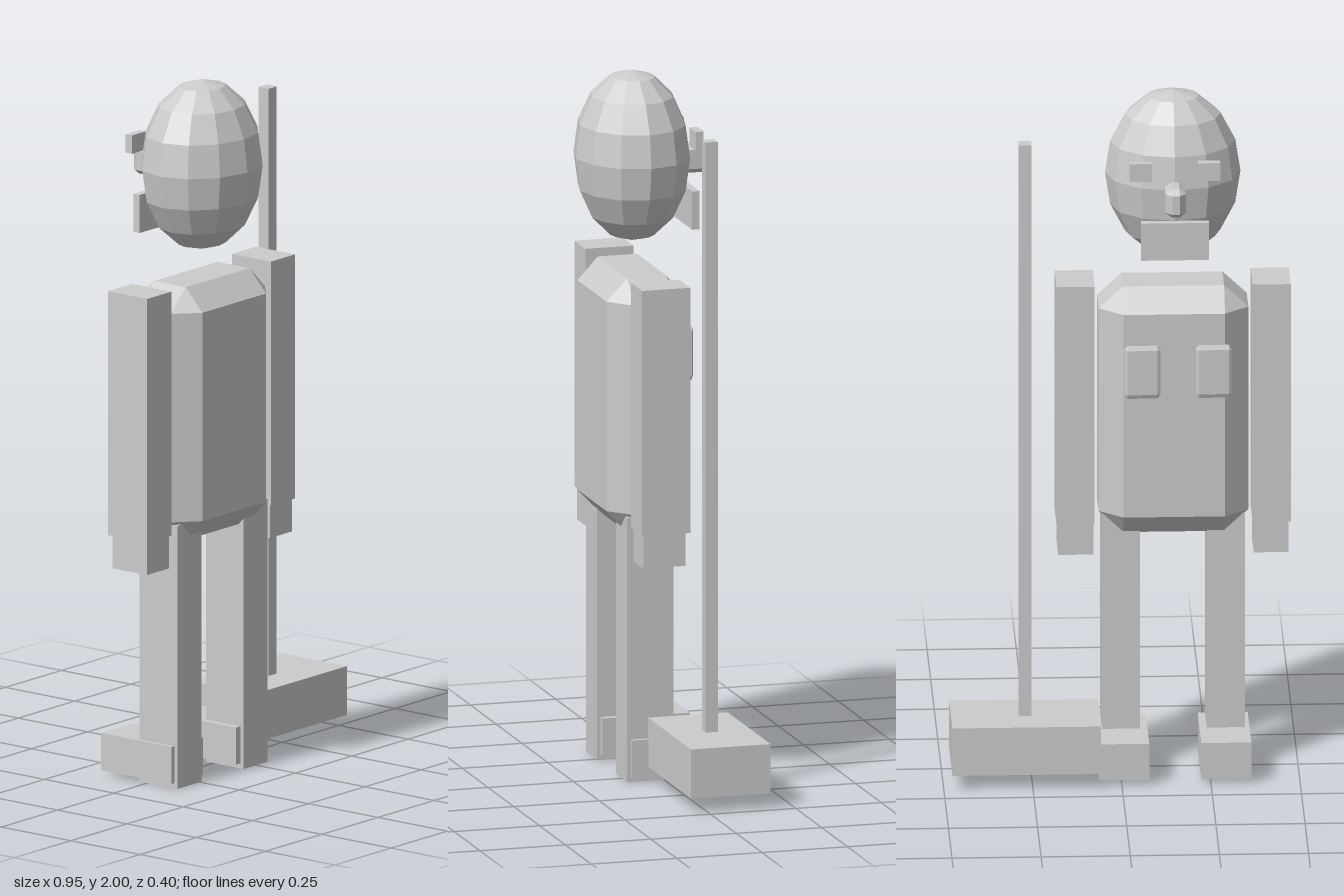
import * as THREE from 'three';
import { ConvexGeometry } from 'three/addons/geometries/ConvexGeometry.js';

const material = new THREE.MeshStandardMaterial({ color: 0xcccccc, flatShading: true });

function add(parent, name, geometry, x, y, z) {
  const mesh = new THREE.Mesh(geometry, material);
  mesh.name = name;
  mesh.position.set(x, y, z);
  parent.add(mesh);
  return mesh;
}

// Box given by its lower and upper limits on each axis
function box(parent, name, [x0, x1], [y0, y1], [z0, z1]) {
  const geometry = new THREE.BoxGeometry(x1 - x0, y1 - y0, z1 - z0);
  return add(parent, name, geometry, (x0 + x1) / 2, (y0 + y1) / 2, (z0 + z1) / 2);
}

// Box with flat bevels on edges and triangular corners
function bevelBox(w, h, d, bx, by, bz) {
  const points = [];
  const X = w / 2, Y = h / 2, Z = d / 2;
  for (const i of [-1, 1]) for (const j of [-1, 1]) for (const k of [-1, 1]) {
    points.push(
      new THREE.Vector3(i * X, j * (Y - by), k * (Z - bz)),
      new THREE.Vector3(i * (X - bx), j * Y, k * (Z - bz)),
      new THREE.Vector3(i * (X - bx), j * (Y - by), k * Z)
    );
  }
  return new ConvexGeometry(points);
}

export function createModel() {
  const model = new THREE.Group();
  model.name = 'figureWithBroom';
  const cx = -0.15; // middle of the figure

  // Head and face, looking towards -z
  const head = new THREE.Group();
  head.name = 'headGroup';
  model.add(head);
  add(head, 'head', new THREE.SphereGeometry(1, 12, 8), cx, 1.755, 0.034).scale.set(0.19, 0.245, 0.164);
  add(head, 'nose', bevelBox(0.057, 0.083, 0.125, 0.018, 0.014, 0.018), cx, 1.736, -0.14);
  box(head, 'mouth', [-0.245, -0.055], [1.55, 1.66], [-0.136, -0.114]);

  // Torso
  add(model, 'torso', bevelBox(0.42, 0.73, 0.235, 0.068, 0.064, 0.06), cx, 1.07, 0.033);

  // Paired parts
  for (const [side, s] of [['right', -1], ['left', 1]]) {
    const across = (offset, width) => [cx + s * offset - width / 2, cx + s * offset + width / 2];
    box(head, side + 'Eye', across(0.096, 0.062), [1.785, 1.838], [-0.138, -0.115]);
    add(model, side + 'ChestPatch', bevelBox(0.1, 0.155, 0.016, 0.008, 0.012, 0.005), -0.16 + s * 0.1, 1.205, -0.097);
    box(model, side + 'Arm', across(0.275, 0.107), [0.735, 1.44], [-0.038, 0.103]);
    box(model, side + 'Hand', across(0.274, 0.098), [0.64, 0.78], [-0.026, 0.097]);
    box(model, side + 'Leg', across(0.147, 0.107), [0, 0.76], [-0.028, 0.108]);
    box(model, side + 'Foot', across(0.143, 0.14), [0.015, 0.122], [-0.158, 0.097]);
  }

  // Broom standing beside the left hand
  const broom = new THREE.Group();
  broom.name = 'broom';
  model.add(broom);
  box(broom, 'broomHandle', [0.25, 0.286], [0.12, 1.88], [-0.086, -0.05]);
  box(broom, 'broomHead', [0.06, 0.476], [0.043, 0.184], [-0.183, 0.05]);

  return model;
}
